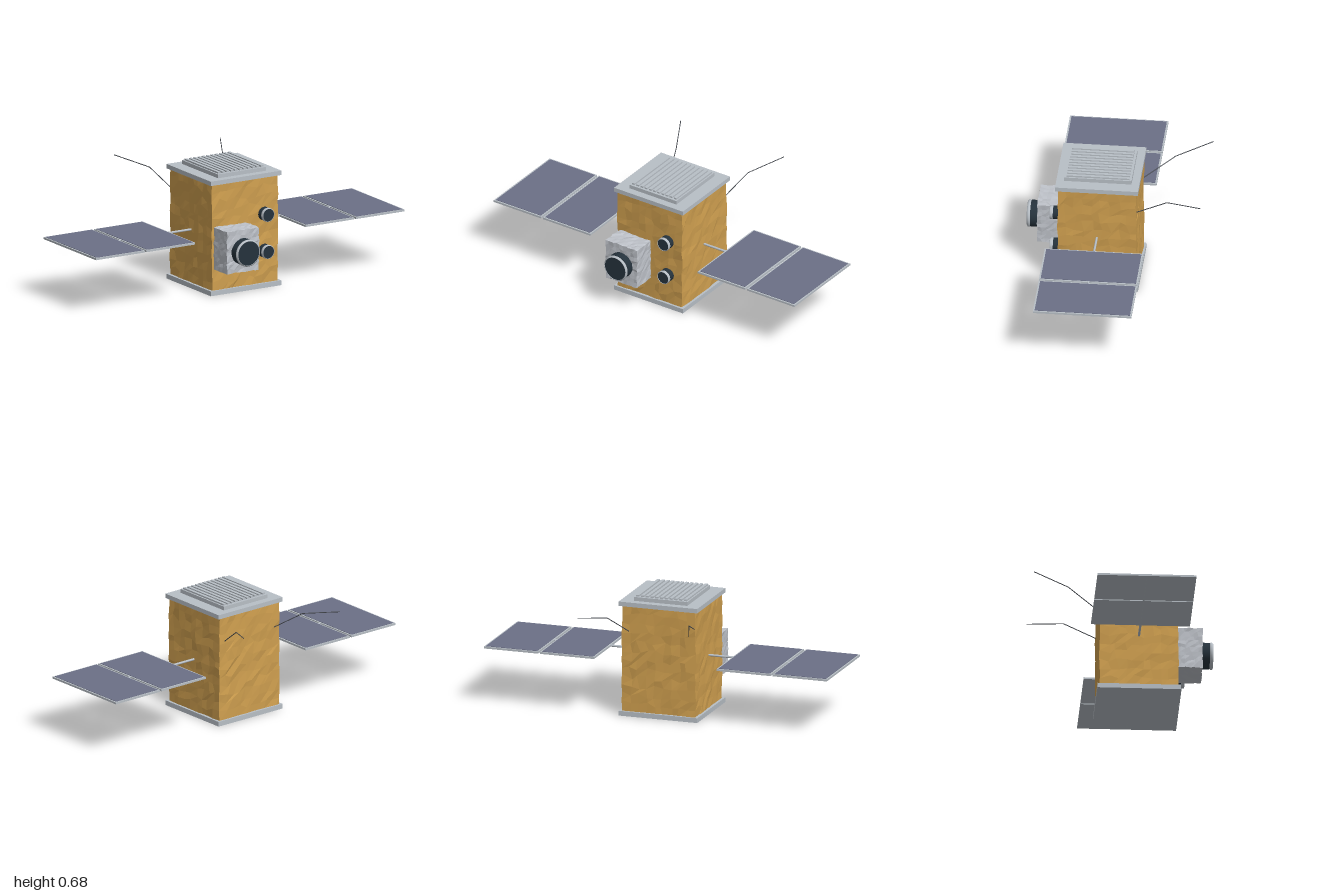
import * as THREE from 'three';

const mat = (name, color) => {
  const m = new THREE.MeshStandardMaterial({ color });
  m.name = name;
  return m;
};

export function createModel() {
  const gold = mat('goldFoil', 0xcf9f4f);
  const foil = mat('silverFoil', 0xbfc3ca);
  const grey = mat('greyMetal', 0xb8bfc6);
  const cells = mat('solarCells', 0x6c7086);
  const dark = mat('darkGlass', 0x25323c);
  const wire = mat('antennaWire', 0x4a4e54);

  const model = new THREE.Group();
  model.name = 'satellite';
  const Z = 0.0875; // body centre line

  const add = (name, geometry, material, parent = model) => {
    const m = new THREE.Mesh(geometry, material);
    m.name = name;
    parent.add(m);
    return m;
  };
  // box given by its minimum and maximum corners
  const box = (name, a, b, material, parent) => {
    const g = new THREE.BoxGeometry(b[0] - a[0], b[1] - a[1], b[2] - a[2]);
    g.translate((a[0] + b[0]) / 2, (a[1] + b[1]) / 2, (a[2] + b[2]) / 2);
    return add(name, g, material, parent);
  };

  // crumpled foil box: shift each point by a hash of its position, then facet it
  const hash = (x, y, z, k) => {
    const v = Math.sin(Math.round(x * 1000) * 12.99 + Math.round(y * 1000) * 78.23
      + Math.round(z * 1000) * 37.72 + k * 19.19) * 43758.55;
    return (v - Math.floor(v)) * 2 - 1;
  };
  const crumpled = (size, segs, amp, slide) => {
    const g = new THREE.BoxGeometry(...size, ...segs);
    const p = g.attributes.position;
    for (let i = 0; i < p.count; i++) {
      const c = [p.getX(i), p.getY(i), p.getZ(i)];
      const moved = c.map((v, k) => {
        const onFace = Math.abs(Math.abs(v) - size[k] / 2) < 1e-5;
        return v + hash(...c, k) * (onFace ? amp : slide);
      });
      p.setXYZ(i, ...moved);
    }
    const flat = g.toNonIndexed();
    flat.computeVertexNormals();
    return flat;
  };

  // body with end plates
  add('body', crumpled([0.428, 0.61, 0.434], [9, 12, 9], 0.0035, 0.016), gold).position.set(0, 0.325, Z);
  for (const [name, y0, y1] of [['bottomPlate', 0, 0.027], ['topPlate', 0.625, 0.65]]) {
    box(name, [-0.229, y0, Z - 0.229], [0.229, y1, Z + 0.229], grey);
  }

  // radiator with slats
  box('radiatorBase', [-0.156, 0.65, Z - 0.186], [0.156, 0.672, Z + 0.186], grey);
  const SLATS = 11;
  for (let i = 0; i < SLATS; i++) {
    const x = -0.139 + (i * 0.278) / (SLATS - 1);
    box('radiatorSlat', [x - 0.0085, 0.67, Z - 0.173], [x + 0.0085, 0.681, Z + 0.173], grey);
  }

  // lens: dark barrel, bright rim and dark glass, all pointing to +z
  const lens = (name, x, y, z, r, barrel, rim) => {
    const group = new THREE.Group();
    group.name = name;
    group.position.set(x, y, z);
    group.rotation.x = Math.PI / 2;
    model.add(group);
    const body = add('barrel', new THREE.CylinderGeometry(r * 0.97, r * 0.97, barrel, 32), dark, group);
    body.position.y = barrel / 2;
    const b = r * 0.08;
    const ring = [[r * 0.9, 0], [r - b, 0], [r, b], [r, rim - b], [r - b, rim], [r * 0.9, rim], [r * 0.9, 0]];
    const pts = ring.map(([u, v]) => new THREE.Vector2(u, v));
    const lathe = new THREE.LatheGeometry(pts, 32);
    add('rim', lathe, grey, group).position.y = barrel;
    const glass = add('glass', new THREE.CylinderGeometry(r * 0.9, r * 0.9, rim * 0.85, 32), dark, group);
    glass.position.y = barrel + rim * 0.425;
  };

  // camera and two small sensors
  add('cameraHousing', crumpled([0.208, 0.238, 0.145], [9, 10, 6], 0.003, 0.007), foil)
    .position.set(-0.097, 0.266, 0.366);
  lens('cameraLens', -0.097, 0.265, 0.43, 0.076, 0.051, 0.019);
  for (const y of [0.42, 0.21]) lens('sensor', 0.122, y, 0.3, 0.039, 0.036, 0.019);

  for (const side of [-1, 1]) {
    const wing = new THREE.Group();
    wing.name = side > 0 ? 'leftWing' : 'rightWing';
    model.add(wing);

    // boom
    const boom = add('boom', new THREE.CylinderGeometry(0.0065, 0.0065, 0.79, 12), grey, wing);
    boom.rotation.z = Math.PI / 2;
    boom.position.set(side * 0.603, 0.327, Z);

    // two solar panels, framed
    for (const centre of [0.515, 0.842]) {
      const x = side * centre, w = 0.158, d = 0.272, e = 0.009;
      box('panelFrame', [x - w, 0.321, Z - d], [x + w, 0.332, Z + d], grey, wing);
      box('panelCells', [x - w + e, 0.331, Z - d + e], [x + w - e, 0.334, Z + d - e], cells, wing);
    }

    // bent whip antenna
    const path = new THREE.CurvePath();
    const bends = [[0.172, 0.478, -0.12], [0.238, 0.598, -0.303], [0.343, 0.638, -0.499]]
      .map(([x, y, z]) => new THREE.Vector3(side * x, y, z));
    for (let i = 0; i < 2; i++) path.add(new THREE.LineCurve3(bends[i], bends[i + 1]));
    add('antenna', new THREE.TubeGeometry(path, 24, 0.0025, 6), wire);
  }

  return model;
}
